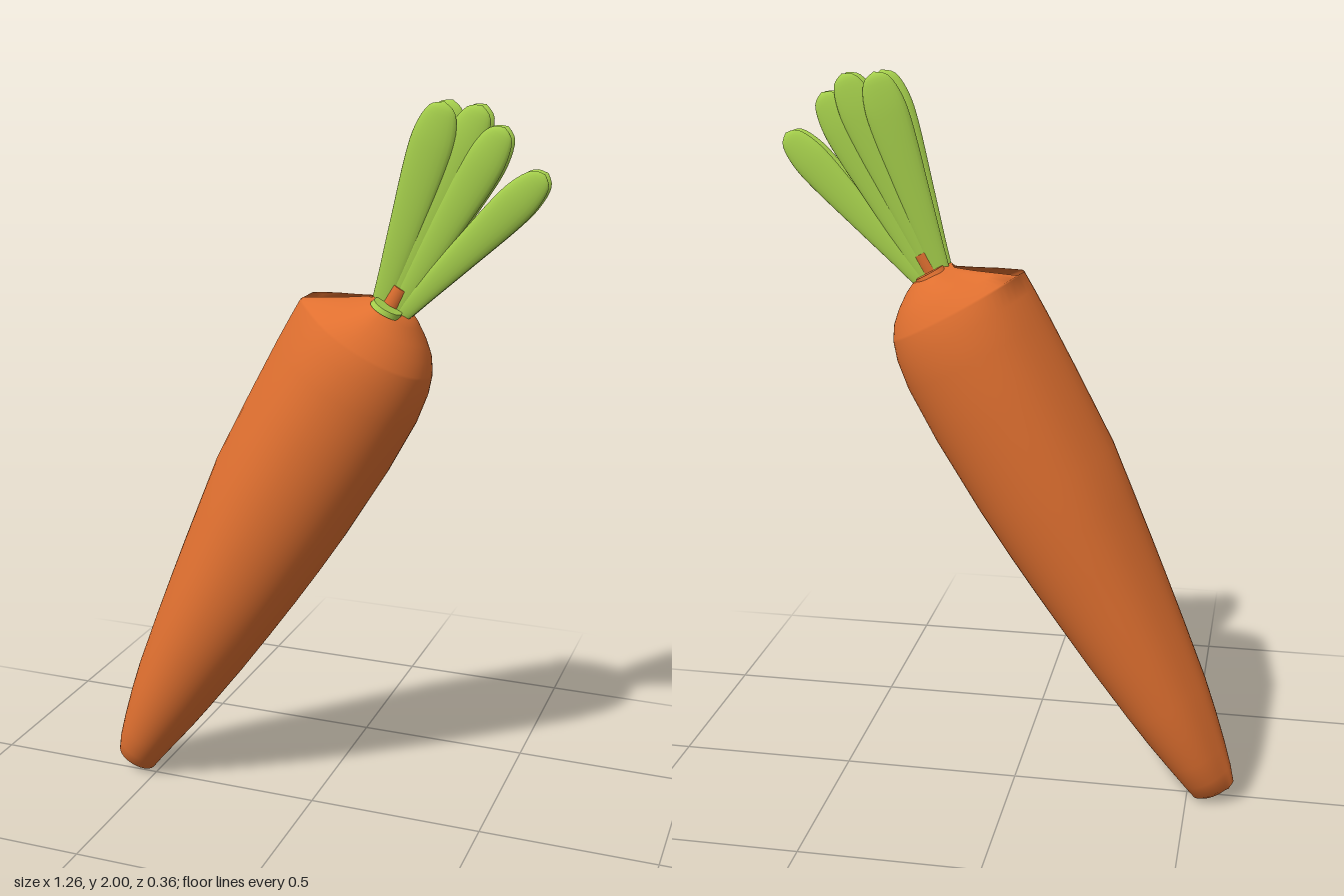
import * as THREE from 'three';

const orange = new THREE.MeshStandardMaterial({ color: 0xe07030, side: THREE.DoubleSide });
const green = new THREE.MeshStandardMaterial({ color: 0xa6d04c, side: THREE.DoubleSide });

function add(parent, name, geometry, material) {
  const mesh = new THREE.Mesh(geometry, material);
  mesh.name = name;
  parent.add(mesh);
  return mesh;
}

// Root sections: height along the axis, left reach, right reach, half depth, seam opening
const SECTIONS = [
  [-0.01, 0.045, 0.045, 0.03, 0], [0.004, 0.066, 0.062, 0.05, 0], [0.05, 0.08, 0.07, 0.075, 0],
  [0.12, 0.096, 0.084, 0.094, 0], [0.21, 0.114, 0.102, 0.112, 0], [0.31, 0.131, 0.119, 0.127, 0],
  [0.48, 0.152, 0.145, 0.145, 0], [0.62, 0.168, 0.163, 0.156, 0], [0.75, 0.183, 0.178, 0.164, 0],
  [0.88, 0.197, 0.191, 0.171, 0], [1.02, 0.212, 0.202, 0.177, 0], [1.25, 0.216, 0.212, 0.181, 0],
  [1.41, 0.217, 0.21, 0.179, 0], [1.49, 0.216, 0.199, 0.172, 0], [1.54, 0.215, 0.183, 0.158, 0],
  [1.546, 0.212, 0.18, 0.155, 0.035], [1.58, 0.158, 0.158, 0.136, 0.03], [1.61, 0.108, 0.126, 0.112, 0.018],
  [1.638, 0.064, 0.087, 0.085, 0.004], [1.652, 0.05, 0.06, 0.065, 0],
];

// Lofted root with a slightly raised seam along its left side, open near the crown
function rootGeometry(cols = 56) {
  const pos = [], index = [];
  const ring = ([s, left, right, depth, gap], shrink = 1) => {
    const seam = -0.015 + 0.04 * Math.min(s / 1.5, 1);
    const shift = -0.02 * Math.max(1 - s / 0.6, 0);
    for (let i = 0; i <= cols; i++) {
      const a = Math.PI + (i / cols) * Math.PI * 2;
      const c = Math.cos(a), keel = c < 0 ? Math.pow(-c, 10) : 0;
      const x = c < 0 ? c * left * (0.9 + 0.1 * keel) : c * right;
      const side = i < cols / 2 ? -1 : 1;
      const z = depth * Math.sin(a) + keel * (gap ? side * gap - 0.01 : seam);
      pos.push(x * shrink, s, z * shrink + shift);
    }
  };
  ring(SECTIONS[0], 0.001);
  SECTIONS.forEach((r) => ring(r));
  ring(SECTIONS[SECTIONS.length - 1], 0.001);
  const n = cols + 1;
  for (let j = 0; j <= SECTIONS.length; j++) {
    for (let i = 0; i < cols; i++) {
      const a = j * n + i, b = a + n;
      index.push(a, b, a + 1, b, b + 1, a + 1);
    }
  }
  const g = new THREE.BufferGeometry();
  g.setAttribute('position', new THREE.Float32BufferAttribute(pos, 3));
  g.setIndex(index);
  g.computeVertexNormals();
  return g;
}

// Leaf blade, narrow at the base and rounded at the tip
function leafGeometry(length, width) {
  const profile = new THREE.SplineCurve([
    [0.001, 0], [0.42, 0.02], [0.58, 0.2], [0.78, 0.45], [0.98, 0.72],
    [0.95, 0.86], [0.62, 0.965], [0.001, 1],
  ].map(([r, y]) => new THREE.Vector2(r * width, y * length)));
  const points = profile.getPoints(28).map((p) => p.setX(Math.max(p.x, 0)));
  return new THREE.LatheGeometry(points, 20);
}

export function createModel() {
  const model = new THREE.Group();
  model.name = 'carrot';

  // Leaning root and crown
  const root = new THREE.Group();
  root.name = 'root';
  root.position.set(-0.575, 0.035, 0);
  root.rotation.z = -0.503;
  model.add(root);
  add(root, 'rootBody', rootGeometry(), orange);

  // Two small pads where the leaves emerge
  const pad = new THREE.CylinderGeometry(0.04, 0.044, 0.014, 28);
  add(root, 'frontPad', pad, green).position.set(0, 1.651, 0.044);
  add(root, 'backPad', pad, orange).position.set(0, 1.651, -0.028);

  // Short stub between the leaf bases
  const stub = add(root, 'stub', new THREE.CylinderGeometry(0.028, 0.028, 0.07, 20), orange);
  stub.position.set(0, 1.675, 0.008);

  // Leaf pairs: base x, y, tip x, y, back and front tip z, half width
  const leaves = new THREE.Group();
  leaves.name = 'leaves';
  model.add(leaves);
  [
    [0.19, 1.46, 0.362, 2.002, -0.026, 0.05, 0.057],
    [0.207, 1.46, 0.452, 1.995, -0.006, 0.034, 0.054],
    [0.222, 1.45, 0.513, 1.945, 0.01, 0.044, 0.052],
    [0.238, 1.45, 0.619, 1.838, 0.022, 0.056, 0.049],
  ].forEach(([bx, by, tx, ty, backZ, frontZ, width], i) => {
    [['Back', backZ, -0.008], ['Front', frontZ, 0.018]].forEach(([side, tz, bz]) => {
      const base = new THREE.Vector3(bx, by, bz);
      const dir = new THREE.Vector3(tx, ty, tz).sub(base);
      const leaf = add(leaves, 'leaf' + side + (i + 1), leafGeometry(dir.length(), width), green);
      leaf.position.copy(base);
      leaf.quaternion.setFromUnitVectors(new THREE.Vector3(0, 1, 0), dir.normalize());
      leaf.scale.z = 0.32;
    });
  });

  return model;
}
